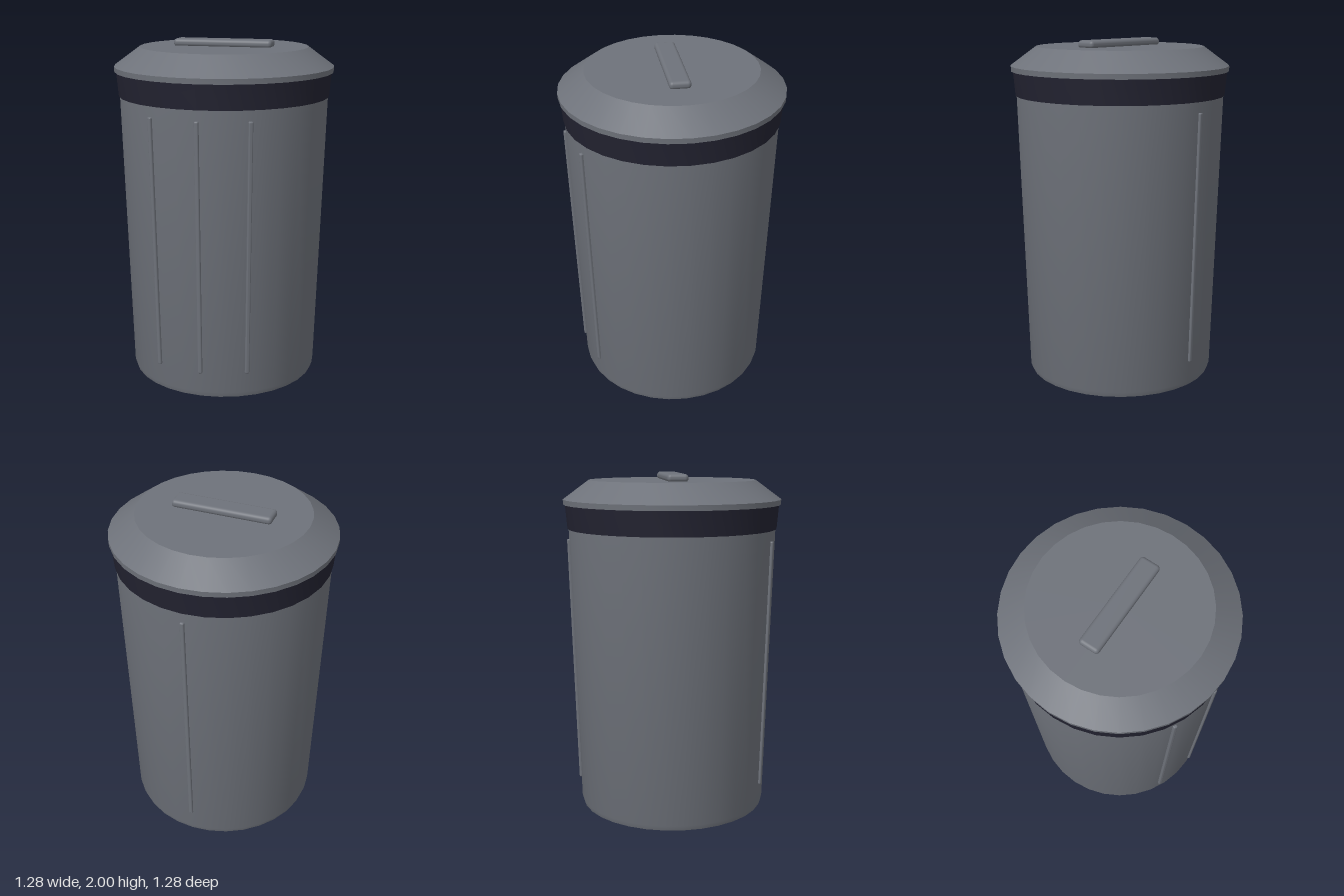
import * as THREE from 'three';
import { toCreasedNormals } from 'three/addons/utils/BufferGeometryUtils.js';
import { RoundedBoxGeometry } from 'three/addons/geometries/RoundedBoxGeometry.js';

const SIDES = 32;

// Surface of revolution with sharp edges kept where the profile turns
function turned(profile) {
  const points = profile.map(([r, y]) => new THREE.Vector2(r, y));
  return toCreasedNormals(new THREE.LatheGeometry(points, SIDES), 0.45);
}

export function createModel() {
  const grey = new THREE.MeshStandardMaterial({ name: 'grey plastic', color: 0x6e727a });
  const dark = new THREE.MeshStandardMaterial({ name: 'dark band', color: 0x222230 });

  const model = new THREE.Group();
  model.name = 'trashCan';
  const add = (name, geometry, material, parent = model) => {
    const mesh = new THREE.Mesh(geometry, material);
    mesh.name = name;
    parent.add(mesh);
    return mesh;
  };

  // Tapered bin with a small bevel at the foot
  const footR = 0.56, footY = 0.03, topR = 0.61, topY = 1.7;
  add('body', turned([[0, 0], [0.55, 0], [footR, footY], [topR, topY], [0, topY]]), grey);

  // Dark collar below the lid
  add('band', turned([[0.6, 1.68], [0.616, 1.68], [0.628, 1.82], [0.6, 1.82]]), dark);

  // Lid: short rim, sloping shoulder, flat top
  add('lid', turned([[0, 1.82], [0.638, 1.82], [0.64, 1.85], [0.49, 1.96], [0, 1.96]]), grey);

  // Bar handle
  add('handle', new RoundedBoxGeometry(0.58, 0.045, 0.12, 3, 0.02), grey).position.y = 1.9775;

  // Raised ribs following the taper: three in front, one behind
  const slope = (topR - footR) / (topY - footY);
  const ribY = 0.885;
  const ribGeometry = new RoundedBoxGeometry(0.025, 1.47, 0.025, 2, 0.008);
  for (const angle of [-0.48, 0, 0.48, Math.PI]) {
    const pivot = new THREE.Group();
    pivot.name = 'ribPivot';
    pivot.rotation.y = angle;
    const rib = add('rib', ribGeometry, grey, pivot);
    rib.position.set(0, ribY, footR + slope * (ribY - footY));
    rib.rotation.x = Math.atan(slope);
    model.add(pivot);
  }
  return model;
}
